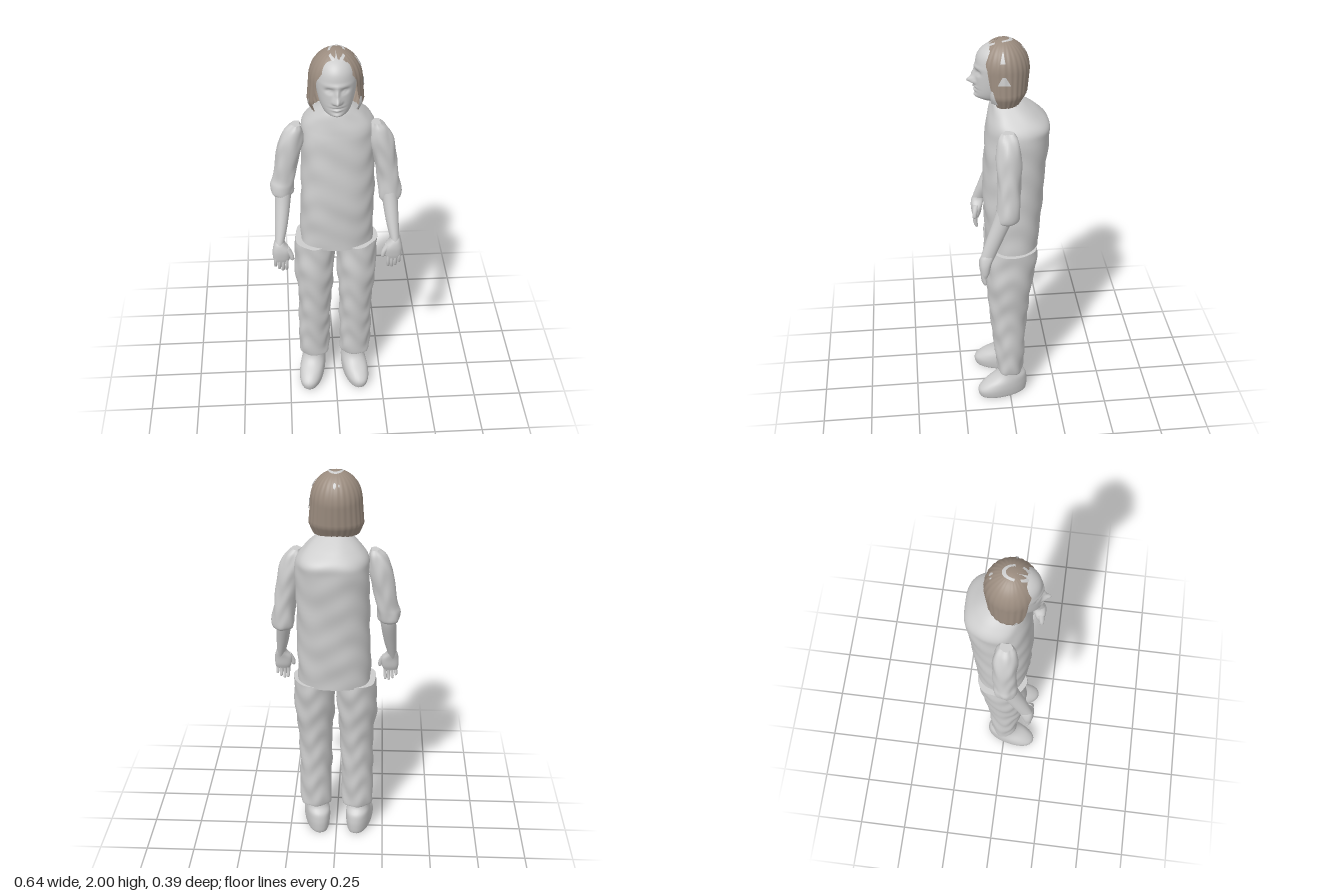
import * as THREE from 'three';

const plain = new THREE.MeshStandardMaterial({ color: 0xcccccc, side: THREE.DoubleSide });
plain.name = 'pale grey';
const brown = new THREE.MeshStandardMaterial({ color: 0x9b8c7f, side: THREE.DoubleSide });
brown.name = 'hair brown';

// Smooth grid surface from a rule (u to the right, v up, seen from outside)
function panel(name, material, nu, nv, rule) {
  const pos = [], index = [];
  for (let i = 0; i <= nv; i++)
    for (let j = 0; j <= nu; j++) pos.push(...rule(j / nu, i / nv));
  for (let i = 0; i < nv; i++)
    for (let j = 0; j < nu; j++) {
      const a = i * (nu + 1) + j, b = a + nu + 1;
      index.push(a, a + 1, b + 1, a, b + 1, b);
    }
  const g = new THREE.BufferGeometry();
  g.setAttribute('position', new THREE.Float32BufferAttribute(pos, 3));
  g.setIndex(index);
  g.computeVertexNormals();
  const mesh = new THREE.Mesh(g, material);
  mesh.name = name;
  return mesh;
}

// Closed body through oval sections [y, x, z, rx, rz], listed bottom to top
function loft(name, sections, { sides = 32, steps = 5, power = 2, bump } = {}) {
  const centre = new THREE.CatmullRomCurve3(
    sections.map(([y, x, z]) => new THREE.Vector3(x, y, z)), false, 'catmullrom');
  const radius = new THREE.CatmullRomCurve3(
    sections.map(s => new THREE.Vector3(s[3], s[4], 0)), false, 'catmullrom');
  const rows = (sections.length - 1) * steps;
  const pos = [], index = [];
  const bend = c => Math.sign(c) * Math.abs(c) ** (2 / power);
  for (let i = 0; i <= rows; i++) {
    const c = centre.getPoint(i / rows), r = radius.getPoint(i / rows);
    for (let j = 0; j < sides; j++) {
      const a = (j / sides) * Math.PI * 2;
      const p = new THREE.Vector3(c.x + r.x * bend(Math.sin(a)), c.y, c.z + r.y * bend(Math.cos(a)));
      if (bump) bump(p, a);
      pos.push(p.x, p.y, p.z);
    }
  }
  for (let i = 0; i < rows; i++)
    for (let j = 0; j < sides; j++) {
      const k = (j + 1) % sides, a = i * sides, b = a + sides;
      index.push(a + j, a + k, b + k, a + j, b + k, b + j);
    }
  // End caps with their own vertices, so the rims stay sharp
  for (const [row, up] of [[0, false], [rows, true]]) {
    const start = pos.length / 3, c = centre.getPoint(row / rows);
    for (let j = 0; j < sides; j++)
      pos.push(...pos.slice((row * sides + j) * 3, (row * sides + j) * 3 + 3));
    pos.push(c.x, c.y, c.z);
    for (let j = 0; j < sides; j++) {
      const k = (j + 1) % sides;
      index.push(start + sides, start + (up ? j : k), start + (up ? k : j));
    }
  }
  const g = new THREE.BufferGeometry();
  g.setAttribute('position', new THREE.Float32BufferAttribute(pos, 3));
  g.setIndex(index);
  g.computeVertexNormals();
  const mesh = new THREE.Mesh(g, plain);
  mesh.name = name;
  return mesh;
}

// Soft cloth creases
const crease = amount => (p, a) => {
  const d = amount * (Math.sin(p.y * 43 + 2 * Math.sin(a * 3)) + Math.sin(a * 5 + p.y * 21)) / 2;
  p.x += d * Math.sin(a);
  p.z += d * Math.cos(a);
};

// Nose, eyes, lips and chin pushed out of the front of the head
function face(p, a) {
  if (Math.cos(a) <= 0) return;
  const spot = (x, y, w, h, d) =>
    d * Math.exp(-(((p.x - 0.004 - x) / w) ** 2) - (((p.y - y) / h) ** 2));
  p.z += spot(0, 1.805, 0.014, 0.016, 0.036) + spot(0, 1.835, 0.009, 0.025, 0.016)
    + spot(0.016, 1.797, 0.008, 0.008, 0.01) + spot(-0.016, 1.797, 0.008, 0.008, 0.01)
    + spot(0.035, 1.85, 0.018, 0.011, -0.014) + spot(-0.035, 1.85, 0.018, 0.011, -0.014)
    + spot(0.034, 1.848, 0.009, 0.005, 0.007) + spot(-0.034, 1.848, 0.009, 0.005, 0.007)
    + spot(0, 1.875, 0.055, 0.009, 0.005) + spot(0, 1.775, 0.024, 0.006, 0.01)
    + spot(0, 1.767, 0.03, 0.003, -0.007) + spot(0, 1.759, 0.02, 0.006, 0.01)
    + spot(0, 1.73, 0.025, 0.012, 0.01);
}

// Point on the hair surface: angle from the front and height
function hairPoint(a, y, out = 0) {
  const cap = y > 1.86 ? Math.sqrt(Math.max(0, 1 - ((y - 1.86) / 0.14) ** 2)) : 1;
  const low = Math.max(0, 1.86 - y);
  const tuck = y < 1.75 ? (1.75 - y) * 0.5 : 0;
  const strand = 0.0015 * Math.sin(a * 26) * cap;
  const rx = (0.122 + low * 0.08 - tuck) * cap + strand + out;
  const rz = (0.12 - low * 0.1 - tuck) * cap + strand + out;
  return [0.003 + rx * Math.sin(a), y, 0.02 + rz * Math.cos(a)];
}

// Half angle of the opening around the face
function parting(y) {
  const stops = [[1.7, 1.08], [1.8, 0.9], [1.88, 0.83], [1.94, 0.5], [1.975, 0.12], [2, 0]];
  const i = Math.max(1, stops.findIndex(s => y <= s[0]));
  const [y0, a0] = stops[i - 1], [y1, a1] = stops[i];
  return a0 + (a1 - a0) * (y - y0) / (y1 - y0);
}

export function createModel() {
  const model = new THREE.Group();
  model.name = 'standing figure';

  // Shirt
  model.add(loft('shirt', [
    [0.93, 0.01, -0.018, 0.182, 0.13], [1.08, 0.012, -0.02, 0.182, 0.14],
    [1.22, 0.015, -0.022, 0.18, 0.147], [1.4, 0.018, -0.032, 0.178, 0.15],
    [1.54, 0.02, -0.042, 0.178, 0.152], [1.6, 0.02, -0.045, 0.17, 0.147],
    [1.65, 0.015, -0.026, 0.132, 0.117], [1.69, 0.01, -0.004, 0.088, 0.085],
    [1.712, 0.006, 0.008, 0.06, 0.06],
  ], { sides: 56, steps: 7, power: 2.3, bump: crease(0.004) }));

  // Head and neck
  model.add(loft('head', [
    [1.62, 0.005, 0, 0.055, 0.06], [1.70, 0.005, 0.022, 0.053, 0.063],
    [1.716, 0.004, 0.047, 0.053, 0.085], [1.732, 0.004, 0.056, 0.064, 0.094],
    [1.765, 0.004, 0.05, 0.078, 0.103], [1.82, 0.004, 0.04, 0.09, 0.113],
    [1.88, 0.004, 0.036, 0.095, 0.115], [1.93, 0.004, 0.03, 0.086, 0.111],
    [1.965, 0.004, 0.026, 0.062, 0.084], [1.988, 0.004, 0.026, 0.022, 0.03],
  ], { sides: 96, steps: 9, bump: face }));

  // Hair, parted over the forehead
  model.add(panel('hair', brown, 96, 36, (u, v) => {
    const y = 1.7 + 0.3 * Math.sin(v * Math.PI / 2), a = parting(y);
    return hairPoint(a + u * 2 * (Math.PI - a), y);
  }));

  // Bare patches on the crown and beside the temple
  const crown = (name, from, to) => model.add(panel(name, plain, 20, 2, (u, v) => {
    const a = from + (to - from) * u, w = 1.12 - 0.3 * v;
    const x = 0.035 * w * Math.sin(a), z = 0.02 + 0.056 * w * Math.cos(a);
    return [x + 0.007, 1.863 + 0.14 * Math.sqrt(1 - (x / 0.122) ** 2 - (z / 0.12) ** 2), z + 0.02];
  }));
  crown('back crown patch', 1.75, 4.6);
  crown('left front crown patch', 0.4, 1.15);
  crown('right front crown patch', -1.2, -0.4);
  for (const [name, a, y, w, h] of [
    ['temple patch', 1.5, 1.82, 0.5, 0.04], ['upper temple patch', 1.45, 1.92, 0.22, 0.045],
    ['left lower patch', 1.0, 1.72, 0.35, 0.07], ['right lower patch', -1.25, 1.72, 0.25, 0.05],
  ]) model.add(panel(name, plain, 8, 4, (u, v) =>
    hairPoint(a + w * (u - 0.5) * (1 - 0.75 * v), y + h * v, 0.004)));

  for (const s of [1, -1]) {
    const side = s > 0 ? 'left' : 'right';
    const arm = new THREE.Group();
    arm.name = side + ' arm';
    const place = list => list.map(([y, x, z, rx, rz]) => [y, s * x + 0.006, z, rx, rz]);
    const cuff = s > 0 ? 0 : 0.045;

    // Sleeve
    arm.add(loft(side + ' sleeve', place([
      [1.19 + cuff, 0.262, 0.03, 0.042, 0.045], [1.205 + cuff, 0.262, 0.027, 0.054, 0.054],
      [1.245 + cuff, 0.26, 0.024, 0.057, 0.056], [1.33, 0.25, 0.02, 0.053, 0.054],
      [1.42, 0.235, 0.018, 0.056, 0.057], [1.52, 0.215, 0.018, 0.058, 0.058],
      [1.585, 0.2, 0.018, 0.043, 0.048], [1.617, 0.188, 0.018, 0.02, 0.03],
    ]), { bump: crease(0.004) }));

    // Forearm and palm
    arm.add(loft(side + ' forearm', place([
      [0.98, 0.288, 0.136, 0.022, 0.03], [1.02, 0.283, 0.122, 0.024, 0.035],
      [1.1, 0.272, 0.09, 0.032, 0.04], [1.2, 0.262, 0.05, 0.038, 0.045],
      [1.27, 0.257, 0.03, 0.04, 0.045],
    ]), { sides: 24 }));
    arm.add(loft(side + ' palm', place([
      [0.905, 0.279, 0.142, 0.036, 0.016], [0.93, 0.277, 0.14, 0.043, 0.024],
      [0.97, 0.276, 0.138, 0.044, 0.03], [1.005, 0.284, 0.13, 0.028, 0.032],
      [1.03, 0.282, 0.12, 0.02, 0.026],
    ]), { sides: 24, power: 2.4 }));

    // Fingers and thumb
    [0.845, 0.84, 0.85, 0.868].forEach((tip, i) => {
      const x = 0.252 + i * 0.018;
      arm.add(loft(side + ' finger', place([
        [tip, x + 0.002, 0.14, 0.003, 0.003], [tip + 0.008, x + 0.002, 0.141, 0.008, 0.009],
        [tip + 0.04, x, 0.148, 0.009, 0.011], [0.935, x, 0.145, 0.01, 0.013],
      ]), { sides: 10, steps: 3 }));
    });
    arm.add(loft(side + ' thumb', place([
      [0.915, 0.224, 0.152, 0.004, 0.004], [0.924, 0.225, 0.152, 0.01, 0.011],
      [0.95, 0.231, 0.15, 0.013, 0.013], [0.985, 0.255, 0.142, 0.02, 0.018],
    ]), { sides: 12, steps: 3 }));
    model.add(arm);

    // Trouser leg
    model.add(loft(side + ' trouser leg', [
      [0.165, 0.109, 0, 0.068, 0.06], [0.18, 0.109, 0, 0.08, 0.068],
      [0.3, 0.11, 0.002, 0.083, 0.076], [0.45, 0.107, 0.005, 0.083, 0.088],
      [0.6, 0.106, 0.006, 0.088, 0.1], [0.75, 0.108, 0, 0.1, 0.116],
      [0.86, 0.106, -0.008, 0.102, 0.122], [0.94, 0.106, -0.012, 0.101, 0.124],
    ].map(([y, x, ...rest]) => [y, s * x + (s > 0 ? -0.002 : -0.004) + y * 0.009, ...rest]),
    { sides: 40, steps: 6, bump: crease(0.006) }));

    // Shoe, toe turned outward
    const shoe = loft(side + ' shoe', [
      [0, 0, 0.04, 0.05, 0.115], [0.012, 0, 0.04, 0.06, 0.13],
      [0.05, 0, 0.04, 0.066, 0.135], [0.085, 0, 0.024, 0.066, 0.118],
      [0.12, 0, 0, 0.062, 0.086], [0.15, 0, 0, 0.056, 0.06],
      [0.19, 0, 0, 0.052, 0.05],
    ], { power: 2.2 });
    shoe.position.x = s > 0 ? 0.1 : -0.117;
    shoe.rotation.y = s * 0.22;
    model.add(shoe);
  }
  return model;
}
